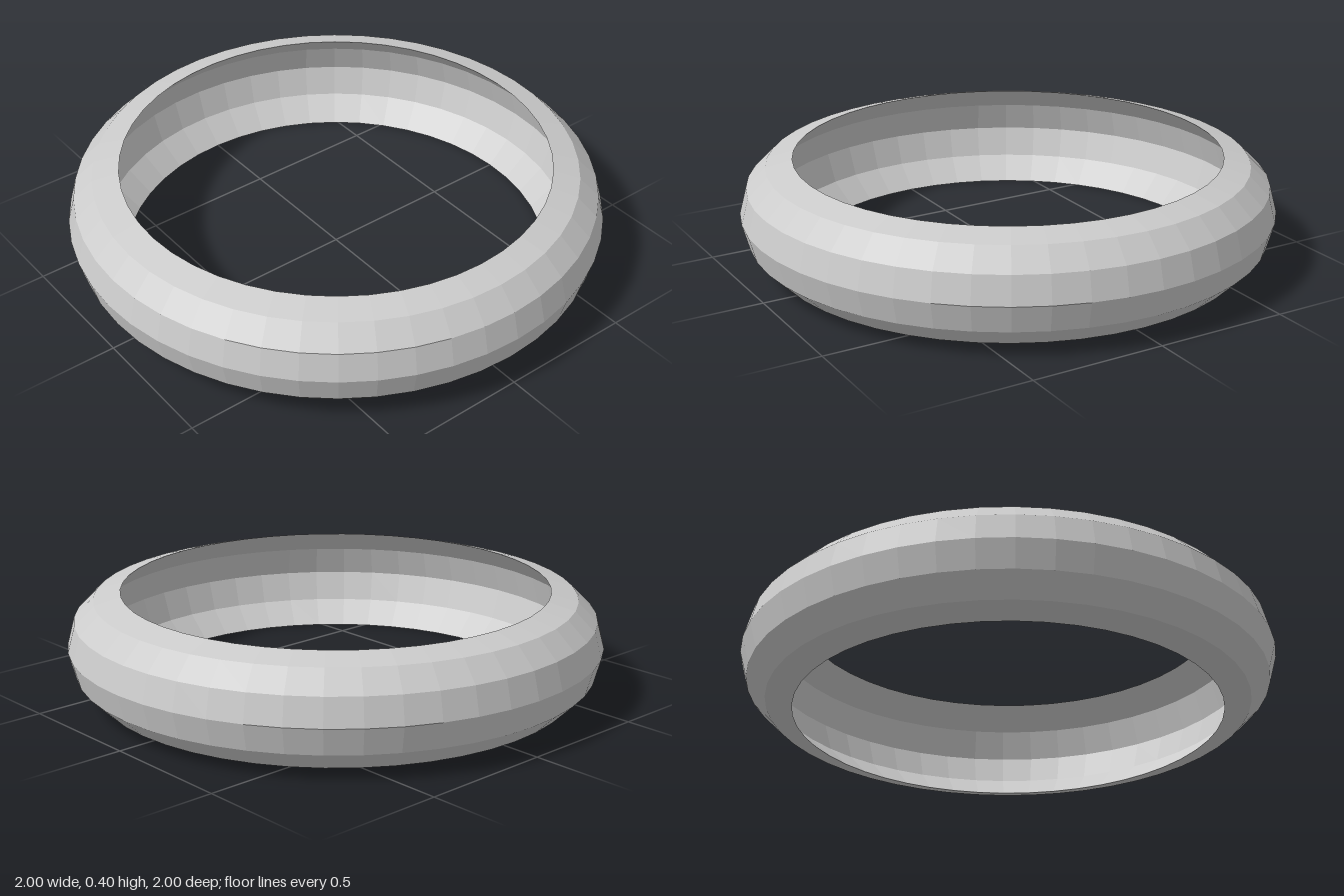
import * as THREE from 'three';

const RING_RADIUS = 0.8;   // radius of the sharp inner rims
const BULGE = 0.2;         // radius of the half-round outside
const SECTION_STEPS = 6;
const SEGMENTS = 48;

export function createModel() {
  const group = new THREE.Group();
  group.name = 'ring';

  // Half-round outside, from the bottom rim out and up to the top rim
  const profile = [];
  for (let i = 0; i <= SECTION_STEPS; i++) {
    const a = -Math.PI / 2 + (Math.PI * i) / SECTION_STEPS;
    profile.push(new THREE.Vector2(
      RING_RADIUS + BULGE * Math.cos(a),
      BULGE + BULGE * Math.sin(a)
    ));
  }

  // Shallower hollow inside, from the top rim back down to the bottom rim
  profile.push(
    new THREE.Vector2(0.889, 0.312),
    new THREE.Vector2(0.925, 0.2),
    new THREE.Vector2(0.889, 0.088),
    profile[0].clone()
  );

  // Closed crescent section turned into a faceted band
  const band = new THREE.Mesh(
    new THREE.LatheGeometry(profile, SEGMENTS),
    new THREE.MeshStandardMaterial({ color: 0xcccccc, flatShading: true })
  );
  band.name = 'ringBand';
  group.add(band);

  return group;
}
